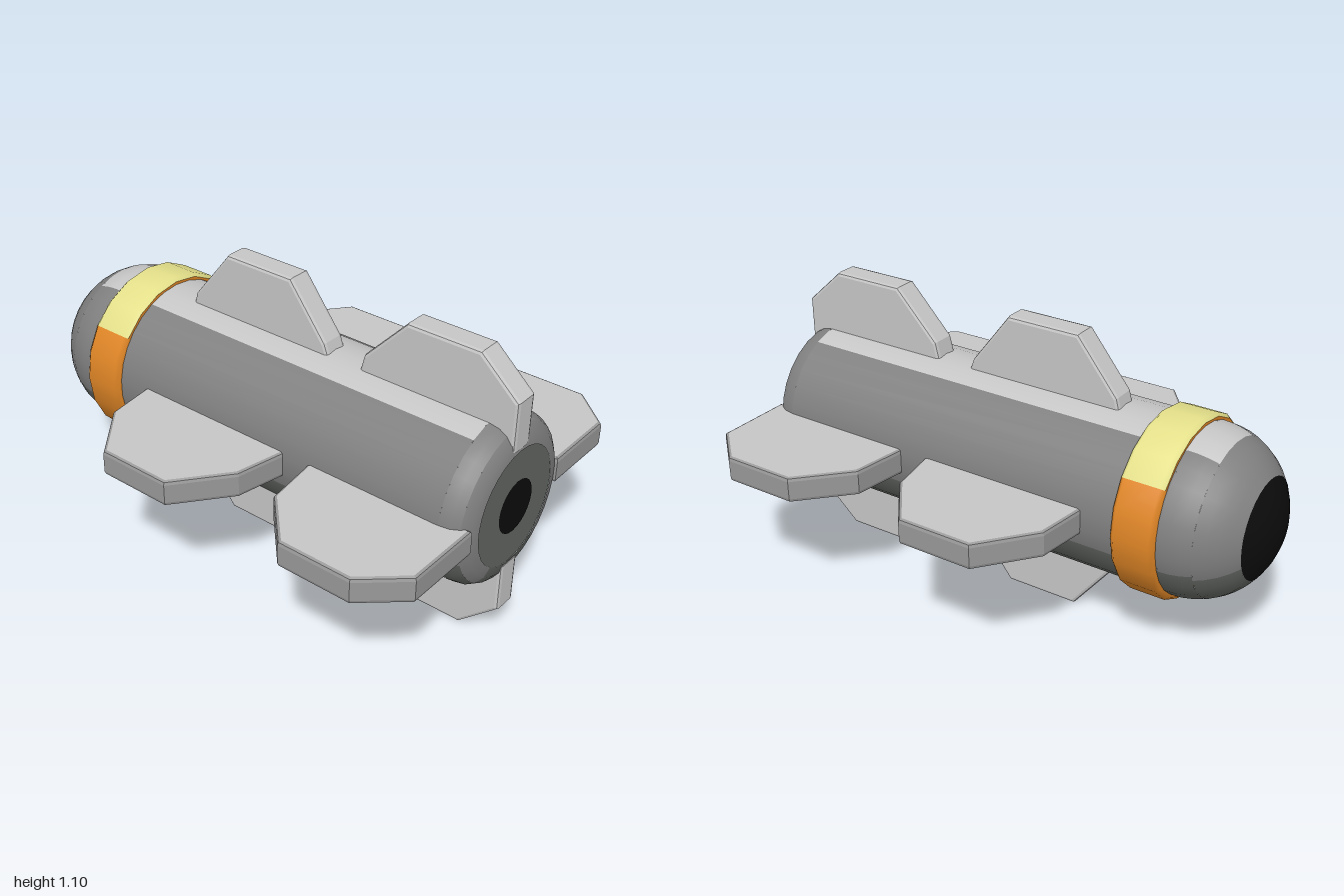
import * as THREE from 'three';

const mat = (name, color, extra = {}) => {
  const m = new THREE.MeshStandardMaterial({ color, ...extra });
  m.name = name;
  return m;
};

export function createModel() {
  const light = mat('light grey', 0xc6c6c6);
  const grey = mat('mid grey', 0x808080);
  const rimGrey = mat('rim grey', 0x999999);
  const dark = mat('dark grey', 0x626661);
  const black = mat('black', 0x0c0c0c);
  const orange = mat('orange', 0xe08626);
  const yellow = mat('pale yellow', 0xe4e08a);

  const model = new THREE.Group();
  const hull = new THREE.Group();
  hull.name = 'hull';
  hull.position.y = 0.55;
  model.add(hull);

  const add = (name, geometry, material, parent = hull) => {
    const mesh = new THREE.Mesh(geometry, material);
    mesh.name = name;
    parent.add(mesh);
    return mesh;
  };

  // Turned sector along z; angles in degrees measured from straight down
  const sector = (name, profile, from, to, material, step = 12) => {
    const pts = profile.map(([r, z]) => new THREE.Vector2(r, z));
    const rad = THREE.MathUtils.degToRad;
    const g = new THREE.LatheGeometry(pts, Math.max(1, Math.round((to - from) / step)), rad(from), rad(to - from));
    add(name, g.rotateX(Math.PI / 2), material);
  };

  // Dark belly, grey flanks and light spine sharing one profile
  const banded = (name, profile, belly, spine) => {
    sector(name + 'Belly', profile, -belly, belly, dark);
    sector(name + 'LeftFlank', profile, belly, 180 - spine, grey);
    sector(name + 'RightFlank', profile, 180 + spine, 360 - belly, grey);
    if (spine > 0) sector(name + 'Spine', profile, 180 - spine, 180 + spine, light);
  };

  // Elliptical nose, parameter 0 at the tip and 1 at the shoulder
  const dome = (a, b, n) => Array.from({ length: n + 1 }, (_, i) => {
    const t = (a + (b - a) * i / n) * Math.PI / 2;
    return [0.315 * Math.sin(t), -0.7 - 0.3 * Math.cos(t)];
  });
  sector('noseCap', dome(0, 0.4, 4), 0, 360, black);
  banded('noseFront', dome(0.4, 0.75, 4), 68, 0);
  banded('noseBack', dome(0.75, 1, 3), 72, 25);

  // Barrel and rounded tail
  banded('barrel', [[0.315, -0.7], [0.315, 0.9]], 72.7, 25.3);
  banded('tailShoulder', [[0.315, 0.9], [0.308, 0.94], [0.29, 0.97]], 70, 0);
  banded('tailEdge', [[0.29, 0.97], [0.26, 0.992], [0.22, 1]], 35, 0);
  add('tailPlate', new THREE.CircleGeometry(0.222, 30), dark).position.z = 0.998;
  add('exhaust', new THREE.CircleGeometry(0.1, 24), black).position.z = 1;

  // Bevelled collar with a pale upper arc
  const collar = [[0.31, -0.695], [0.327, -0.695], [0.34, -0.68], [0.34, -0.545], [0.327, -0.53], [0.31, -0.53]];
  sector('collar', collar, -126, 126, orange, 18);
  sector('collarTop', collar.slice(1, 5), 126, 234, yellow, 18);
  sector('collarTopFrontLip', collar.slice(0, 2), 126, 234, orange, 18);
  sector('collarTopBackLip', collar.slice(4), 126, 234, orange, 18);

  // Fin outlines as [distance from axis, z]
  const frontFin = (h, root) => [
    [root, 0.27], [h - 0.2, 0.225], [h, 0.07], [h, -0.22], [h - 0.2, -0.38], [root, -0.41],
  ];
  const rearFin = (h, root) => [
    [root, 1], [h - 0.135, 1], [h, 0.85], [h, 0.565], [h - 0.18, 0.395], [root, 0.36],
  ];

  const finGeometry = (outline) => {
    const shape = new THREE.Shape(outline.map(([r, z]) => new THREE.Vector2(r, z)));
    const g = new THREE.ExtrudeGeometry(shape, {
      depth: 0.07, bevelThickness: 0.015, bevelSize: 0.012, bevelOffset: -0.012, bevelSegments: 2,
    });
    // Lay the plate flat: outward along x, thickness along y
    return g.translate(0, 0, -0.035).rotateX(Math.PI / 2);
  };

  ['left', 'top', 'right', 'bottom'].forEach((side, i) => {
    const vertical = i % 2 === 1;
    const h = vertical ? 0.55 : 0.7;
    const root = vertical ? 0.23 : 0.262;
    const materials = [light, vertical ? light : rimGrey];
    for (const [name, outline] of [['FrontFin', frontFin(h, root)], ['RearFin', rearFin(h, root)]]) {
      const fin = add(side + name, finGeometry(outline), materials);
      fin.rotation.z = i * Math.PI / 2;
    }
  });

  return model;
}
